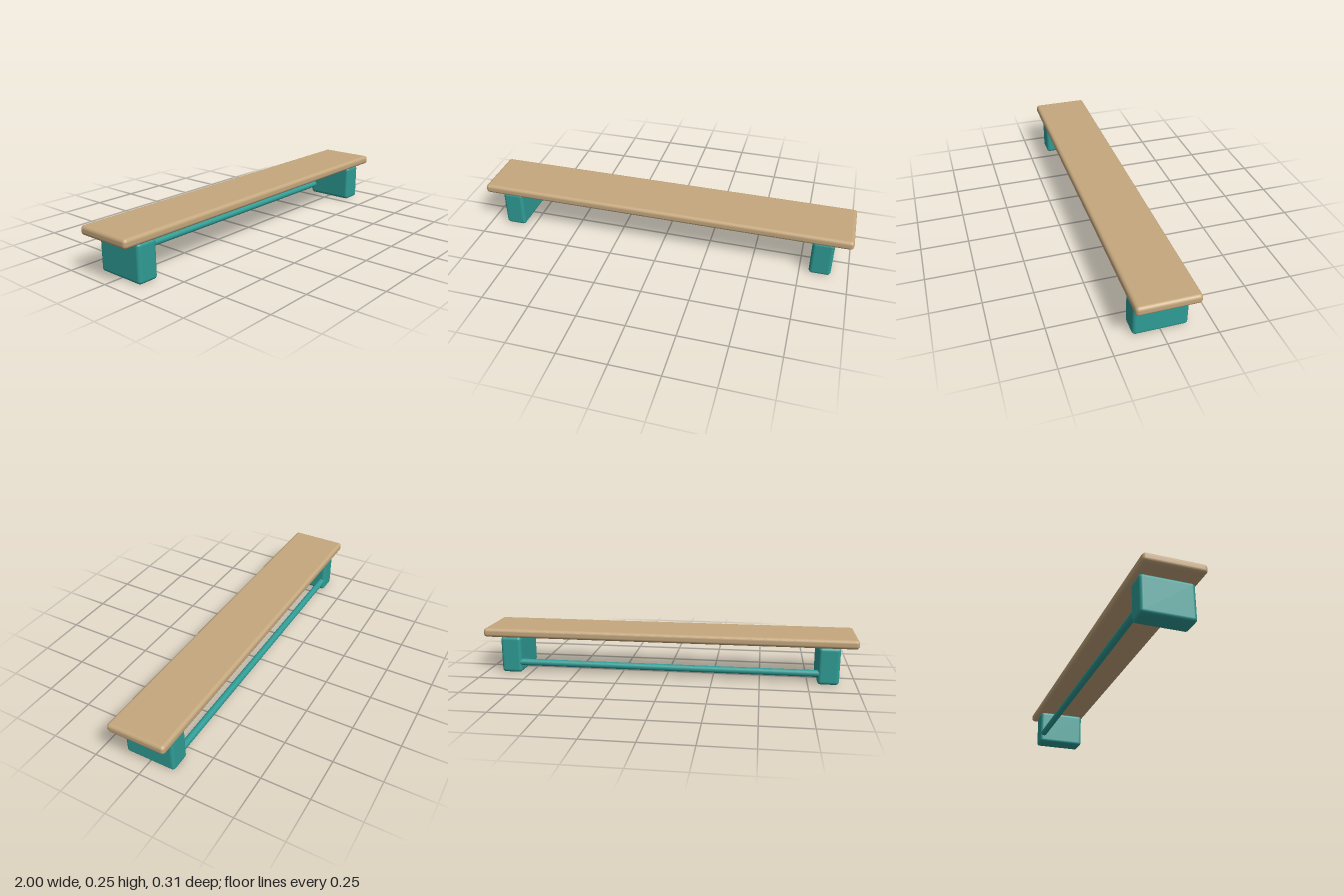
import * as THREE from 'three';
import { RoundedBoxGeometry } from 'three/addons/geometries/RoundedBoxGeometry.js';

export function createModel() {
  const model = new THREE.Group();
  model.name = 'bench';

  const wood = new THREE.MeshStandardMaterial({ name: 'tan wood', color: 0xc4a77d });
  const teal = new THREE.MeshStandardMaterial({ name: 'teal paint', color: 0x2f9c95 });

  const add = (name, geometry, material, x, y, z) => {
    const mesh = new THREE.Mesh(geometry, material);
    mesh.name = name;
    mesh.position.set(x, y, z);
    model.add(mesh);
    return mesh;
  };

  // Seat plank with softened edges
  add('seat', new RoundedBoxGeometry(2, 0.048, 0.31, 5, 0.018), wood, 0, 0.225, 0);

  // Two block legs
  for (const side of [1, -1]) {
    add(side > 0 ? 'leftLeg' : 'rightLeg',
      new RoundedBoxGeometry(0.112, 0.2, 0.27, 5, 0.018), teal, side * 0.855, 0.101, 0);
  }

  // Round rail joining the legs near the back
  const rail = add('rearRail', new THREE.CylinderGeometry(0.018, 0.018, 1.66, 24), teal, 0, 0.058, -0.115);
  rail.rotation.z = Math.PI / 2;

  return model;
}
